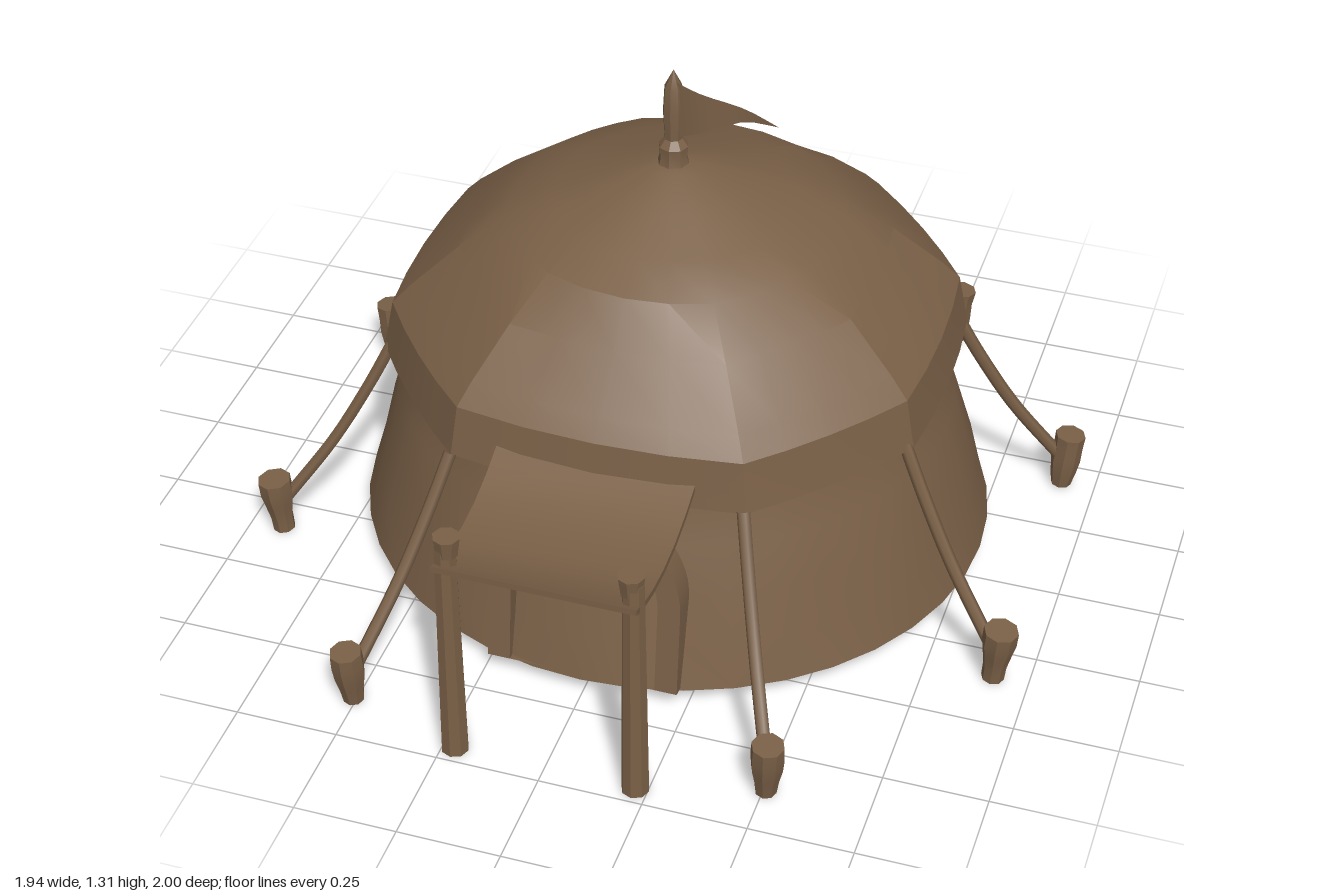
import * as THREE from 'three';
import { toCreasedNormals } from 'three/addons/utils/BufferGeometryUtils.js';
import { ParametricGeometry } from 'three/addons/geometries/ParametricGeometry.js';

const CZ = -0.06; // centre of the tent in z
const V2 = (x, y) => new THREE.Vector2(x, y);
const V3 = (x, y, z) => new THREE.Vector3(x, y, z);
const crease = (g, a = 0.4) => toCreasedNormals(g, a);

// Eight eave corners, wider at the front and back than at the sides
const corners = [22, 60, 120, 158, 202, 240, 300, 338, 382].map(d => THREE.MathUtils.degToRad(d));

// Point on the rounded eight-sided outline, t in 0..1
function outline(t, roundness) {
  const k = Math.min(7, Math.floor(t * 8)), f = t * 8 - k;
  const a = corners[k], b = corners[k + 1], r = 0.715;
  const flat = V2(Math.cos(a), Math.sin(a)).lerp(V2(Math.cos(b), Math.sin(b)), f);
  const ang = a + (b - a) * f;
  return flat.lerp(V2(Math.cos(ang), Math.sin(ang)), roundness).multiplyScalar(r);
}

// Slightly irregular hewn post
function post(rTop, rBottom, height, sides, seed) {
  const g = new THREE.CylinderGeometry(rTop, rBottom, height, sides, 4);
  const p = g.attributes.position;
  for (let i = 0; i < p.count; i++) {
    const k = 1 + 0.09 * Math.sin(p.getY(i) * 40 + seed);
    p.setX(i, p.getX(i) * k);
    p.setZ(i, p.getZ(i) * k);
  }
  return crease(g, 0.6);
}

export function createModel() {
  const group = new THREE.Group();
  group.name = 'tent';
  const canvas = new THREE.MeshStandardMaterial({ color: 0x7a6047 });
  canvas.name = 'brown canvas';

  const add = (name, geo, x = 0, y = 0, z = 0) => {
    const m = new THREE.Mesh(geo, canvas);
    m.name = name;
    m.position.set(x, y, z);
    group.add(m);
    return m;
  };

  // Flared wall with a closed floor and soft folds
  const wallPts = [[0, 0.06], [0.785, 0.06], [0.755, 0.17], [0.72, 0.3], [0.685, 0.42], [0.65, 0.52], [0.64, 0.6]];
  const wallGeo = new THREE.LatheGeometry(wallPts.map(p => V2(...p)), 40);
  const wp = wallGeo.attributes.position;
  for (let i = 0; i < wp.count; i++) {
    const x = wp.getX(i), y = wp.getY(i), z = wp.getZ(i);
    const a = Math.atan2(z, x);
    const fold = y > 0.07 && y < 0.5 ? 1 + 0.006 * Math.sin(a * 12 + y * 9) : 1;
    wp.setXYZ(i, x * fold, y, z * fold * 0.968);
  }
  add('wall', crease(wallGeo, 0.5), 0, 0, CZ);

  // Roof with a hanging hem: [scale, height]
  const roofPts = [[0.93, 0.56], [1, 0.548], [0.985, 0.6], [0.965, 0.675], [0.9, 0.725], [0.73, 0.835],
    [0.56, 0.925], [0.41, 0.97], [0.23, 1.02], [0.08, 1.06], [0, 1.07]];
  const n = roofPts.length - 1;
  const roofGeo = new ParametricGeometry((u, v, out) => {
    const [s, y] = roofPts[Math.round(v * n)];
    const p = outline(1 - u, s < 0.6 ? 0.8 : 0.35);
    out.set(p.x * s, y, p.y * s + 0.03 * (1 - s));
  }, 32, n);
  add('roof', crease(roofGeo, 0.35), 0, 0, CZ + 0.005);

  // Guy ropes and stakes at every eave corner
  const anchors = [[0.65, 0.22, 0.92, 0.345], [0.36, 0.58, 0.51, 0.88],
    [0.65, -0.31, 0.92, -0.43], [0.36, -0.67, 0.51, -0.955]];
  for (const side of [1, -1]) {
    anchors.forEach(([ex, ez, sx, sz], i) => {
      const at = (t, y) => V3(side * (ex + (sx - ex) * t), y, ez + (sz - ez) * t);
      const curve = new THREE.CatmullRomCurve3([at(-0.03, 0.56), at(0.18, 0.44), at(0.5, 0.28), at(0.95, 0.1)]);
      add('guyRope', new THREE.TubeGeometry(curve, 14, 0.016, 6));
      const stake = add('stake', post(0.042, 0.028, 0.155, 8, i), side * sx, 0.09, sz);
      const out = V2(sx - ex, sz - ez).normalize();
      stake.rotation.set(out.y * 0.1, 0, -side * out.x * 0.1);
    });
    // Awning pole with a rounded cap
    add('awningPole', post(0.024, 0.031, 0.62, 8, 2), side * 0.22, 0.32, 0.955);
    add('poleCap', post(0.03, 0.028, 0.05, 8, 0), side * 0.215, 0.625, 0.955);
  }

  // Sagging awning, drawn from the side and extruded across
  const sag = [[0.56, 0.595], [0.64, 0.562], [0.72, 0.54], [0.8, 0.532], [0.88, 0.537], [0.95, 0.553], [0.995, 0.572]];
  const awningShape = new THREE.Shape([
    ...sag.map(([z, y]) => V2(z, y)),
    ...sag.slice().reverse().map(([z, y]) => V2(z, y + 0.016)),
  ]);
  const awningGeo = new THREE.ExtrudeGeometry(awningShape, { depth: 0.48, bevelEnabled: false });
  awningGeo.rotateY(-Math.PI / 2).translate(0.24, 0, 0);
  add('awning', crease(awningGeo));

  // Arched door frame leaning with the wall
  const arch = (w, h) => {
    const s = new THREE.Shape();
    s.moveTo(w, 0).lineTo(w, h - w);
    s.absarc(0, h - w, w, 0, Math.PI, false);
    s.lineTo(-w, 0).lineTo(w, 0);
    return s;
  };
  const frameShape = arch(0.235, 0.46);
  frameShape.holes.push(arch(0.18, 0.405));
  const frameGeo = new THREE.ExtrudeGeometry(frameShape, { depth: 0.08, bevelEnabled: false, curveSegments: 14 });
  add('doorFrame', crease(frameGeo), 0, 0.06, 0.612).rotation.x = -0.12;

  // Flagpole on the peak
  const poleProfile = [[0, 1.04], [0.042, 1.05], [0.034, 1.08], [0.036, 1.11], [0.022, 1.13],
    [0.026, 1.2], [0.022, 1.27], [0, 1.315]];
  add('flagpole', crease(new THREE.LatheGeometry(poleProfile.map(p => V2(...p)), 8), 0.5), -0.003, 0, -0.03);

  // Pennant with a slight ripple
  const flagGeo = new ParametricGeometry((u, v, out) => {
    const low = 1.135 + 0.055 * Math.min(1, u * 1.5) + 0.025 * u;
    const high = 1.29 - 0.075 * u;
    out.set(0.255 * u, low + (high - low) * v, 0.008 * Math.sin(u * 7));
  }, 8, 2);
  for (const s of [1, -1]) {
    const g = flagGeo.clone();
    if (s < 0) g.setIndex([...g.index.array].reverse());
    g.computeVertexNormals();
    add('flag', g, 0, 0, -0.03 + s * 0.008);
  }
  return group;
}
